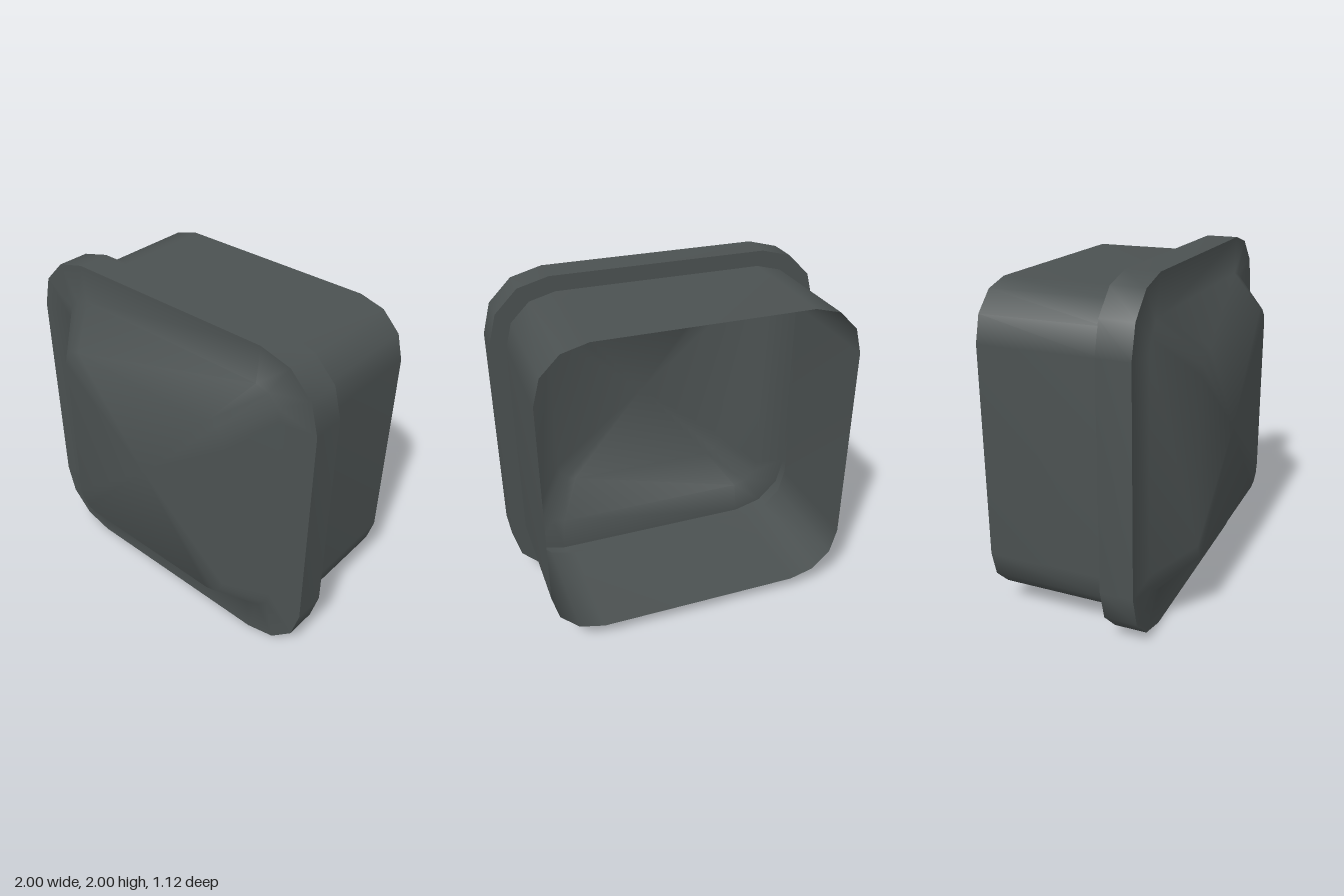
import * as THREE from 'three';

const CORNER_STEPS = 3;

// Rounded square outline, counter-clockwise seen from the front
function outline(half, radius) {
  const points = [];
  for (let c = 0; c < 4; c++) {
    const mid = Math.PI / 4 + c * Math.PI / 2;
    const cx = Math.sign(Math.cos(mid)) * (half - radius);
    const cy = Math.sign(Math.sin(mid)) * (half - radius);
    for (let k = 0; k <= CORNER_STEPS; k++) {
      const a = (c + k / CORNER_STEPS) * Math.PI / 2;
      points.push([cx + radius * Math.cos(a), cy + radius * Math.sin(a)]);
    }
  }
  return points;
}

// Smooth skin through sections of [half width, corner radius, z]; closed by a fan if capped
function loft(sections, capped = false) {
  const n = 4 * (CORNER_STEPS + 1);
  const positions = [], index = [];
  for (const [half, radius, z] of sections) {
    for (const [x, y] of outline(half, radius)) positions.push(x, y, z);
  }
  for (let s = 0; s < sections.length - 1; s++) {
    for (let i = 0; i < n; i++) {
      const j = (i + 1) % n;
      const a = s * n + i, b = s * n + j;
      index.push(a, b, b + n, a, b + n, a + n);
    }
  }
  if (capped) {
    const last = (sections.length - 1) * n;
    positions.push(0, 0, sections[sections.length - 1][2]);
    for (let i = 0; i < n; i++) index.push(last + i, last + (i + 1) % n, last + n);
  }
  const geometry = new THREE.BufferGeometry();
  geometry.setAttribute('position', new THREE.Float32BufferAttribute(positions, 3));
  geometry.setIndex(index);
  geometry.computeVertexNormals();
  return geometry;
}

export function createModel() {
  const group = new THREE.Group();
  group.name = 'squareCap';

  const slate = new THREE.MeshStandardMaterial({ color: 0x4b5151, side: THREE.DoubleSide });
  slate.name = 'dark slate';

  const add = (name, geometry) => {
    const mesh = new THREE.Mesh(geometry, slate);
    mesh.name = name;
    mesh.position.y = 1;
    group.add(mesh);
  };

  // Open thin sleeve at the back
  add('sleeve', loft([[0.91, 0.3, -0.56], [0.91, 0.3, 0.16]]));

  // Wider flange: back step and rim
  add('flangeBack', loft([[0.91, 0.3, 0.16], [1, 0.36, 0.16]]));
  add('flangeRim', loft([[1, 0.36, 0.16], [1, 0.36, 0.35]]));

  // Front face with its raised, sloped centre
  add('frontFace', loft([[1, 0.36, 0.35], [0.78, 0.16, 0.35], [0.6, 0.12, 0.56]], true));

  return group;
}
